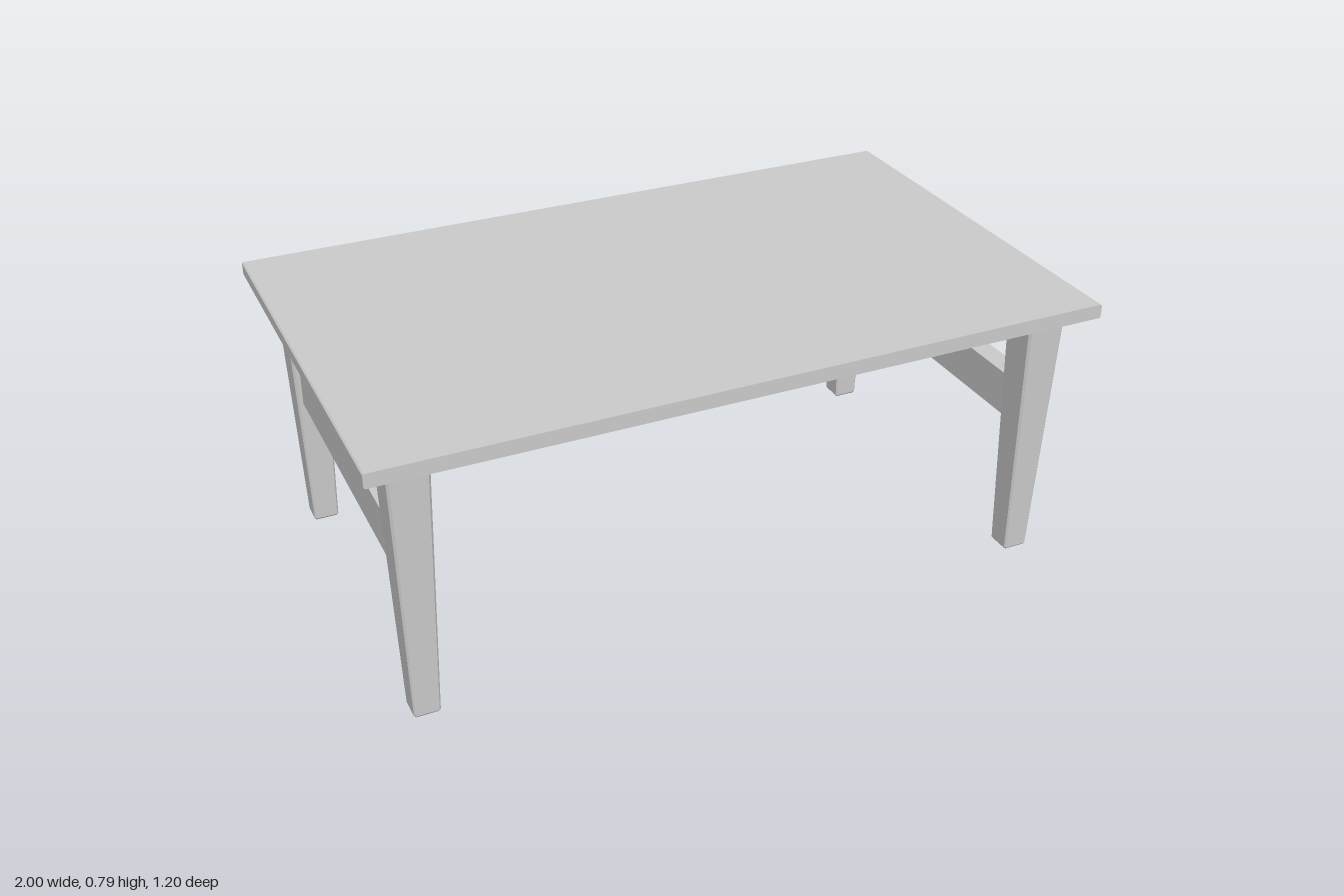
import * as THREE from 'three';

const material = new THREE.MeshStandardMaterial({ color: 0xcccccc, flatShading: true });

// Rectangle with small chamfered corners, centred on the origin
function chamferedRect(w, h, c) {
  const x = w / 2, y = h / 2;
  return new THREE.Shape([
    [x - c, -y], [x, -y + c], [x, y - c], [x - c, y],
    [-x + c, y], [-x, y - c], [-x, -y + c], [-x + c, -y],
  ].map(([a, b]) => new THREE.Vector2(a, b)));
}

// Square leg, tapering towards the foot, with chamfered edges
function legGeometry(height, top, foot) {
  const c = 0.005;
  const geo = new THREE.ExtrudeGeometry(chamferedRect(1, 1, 0.06), {
    depth: height - 2 * c, bevelEnabled: true, bevelSegments: 1,
    bevelThickness: c, bevelSize: 0.05, bevelOffset: -0.05,
  });
  geo.translate(0, 0, c).rotateX(-Math.PI / 2);
  const p = geo.attributes.position;
  for (let i = 0; i < p.count; i++) {
    const s = THREE.MathUtils.lerp(foot, top, p.getY(i) / height);
    p.setX(i, p.getX(i) * s);
    p.setZ(i, p.getZ(i) * s);
  }
  geo.computeVertexNormals();
  return geo;
}

export function createModel() {
  const table = new THREE.Group();
  table.name = 'table';
  const add = (name, geo, x, y, z) => {
    const mesh = new THREE.Mesh(geo, material);
    mesh.name = name;
    mesh.position.set(x, y, z);
    table.add(mesh);
  };

  // Table top, its short ends slightly chamfered
  const top = new THREE.ExtrudeGeometry(chamferedRect(2, 0.04, 0.004), { depth: 1.2, bevelEnabled: false });
  add('tableTop', top.translate(0, 0, -0.6), 0, 0.77, 0);

  // Legs, and two rails joining each end pair
  const leg = legGeometry(0.75, 0.11, 0.07);
  const rail = new THREE.BoxGeometry(0.06, 0.125, 0.94);
  for (const [side, x] of [['left', 0.88], ['right', -0.88]]) {
    add(side + 'FrontLeg', leg, x, 0, 0.485);
    add(side + 'BackLeg', leg, x, 0, -0.485);
    add(side + 'UpperRail', rail, x, 0.69, 0);
    add(side + 'LowerRail', rail, x, 0.464, 0);
  }
  return table;
}
